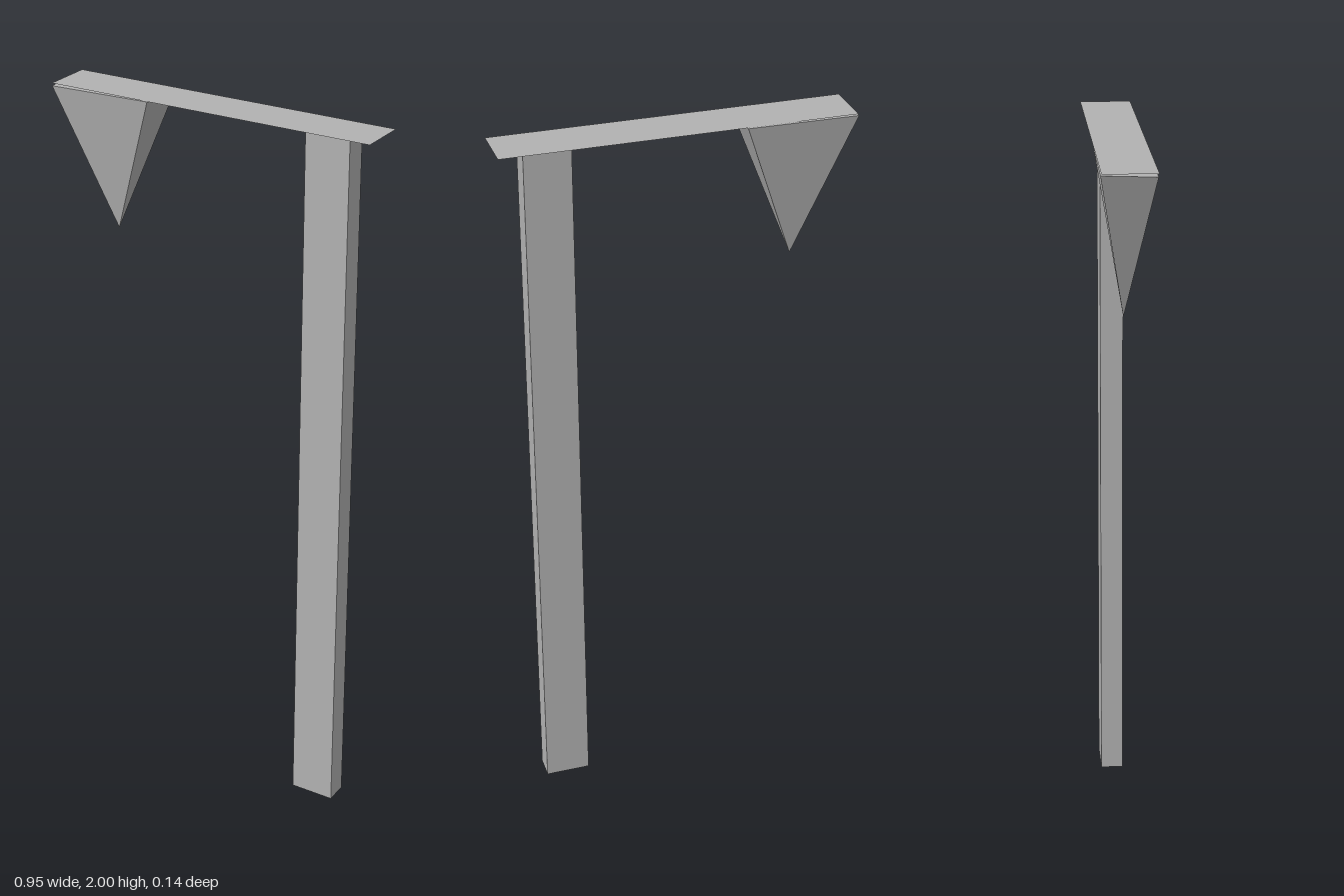
import * as THREE from 'three';
import { ConvexGeometry } from 'three/addons/geometries/ConvexGeometry.js';

export function createModel() {
  const model = new THREE.Group();
  const grey = new THREE.MeshStandardMaterial({ color: 0xb2b2b2, side: THREE.DoubleSide });
  grey.name = 'grey';

  const add = (name, geometry, x = 0, y = 0, z = 0) => {
    const mesh = new THREE.Mesh(geometry, grey);
    mesh.name = name;
    mesh.position.set(x, y, z);
    model.add(mesh);
    return mesh;
  };

  // Upright post
  add('post', new THREE.BoxGeometry(0.126, 1.999, 0.064), 0.338, 0.9995, 0.004);

  // Paper-thin arm lying flat on the post
  const arm = new THREE.PlaneGeometry(0.946, 0.14).rotateX(-Math.PI / 2);
  add('arm', arm, 0, 2, 0);

  // Hanging pyramid: four rim corners, one slightly low, and the tip
  const corners = [
    [-0.474, 1.992, 0.068],
    [-0.175, 1.998, 0.068],
    [-0.175, 1.998, -0.071],
    [-0.474, 1.997, -0.073],
    [-0.32, 1.6, -0.006],
  ];
  add('hangingPyramid', new ConvexGeometry(corners.map((c) => new THREE.Vector3(...c))));

  return model;
}
